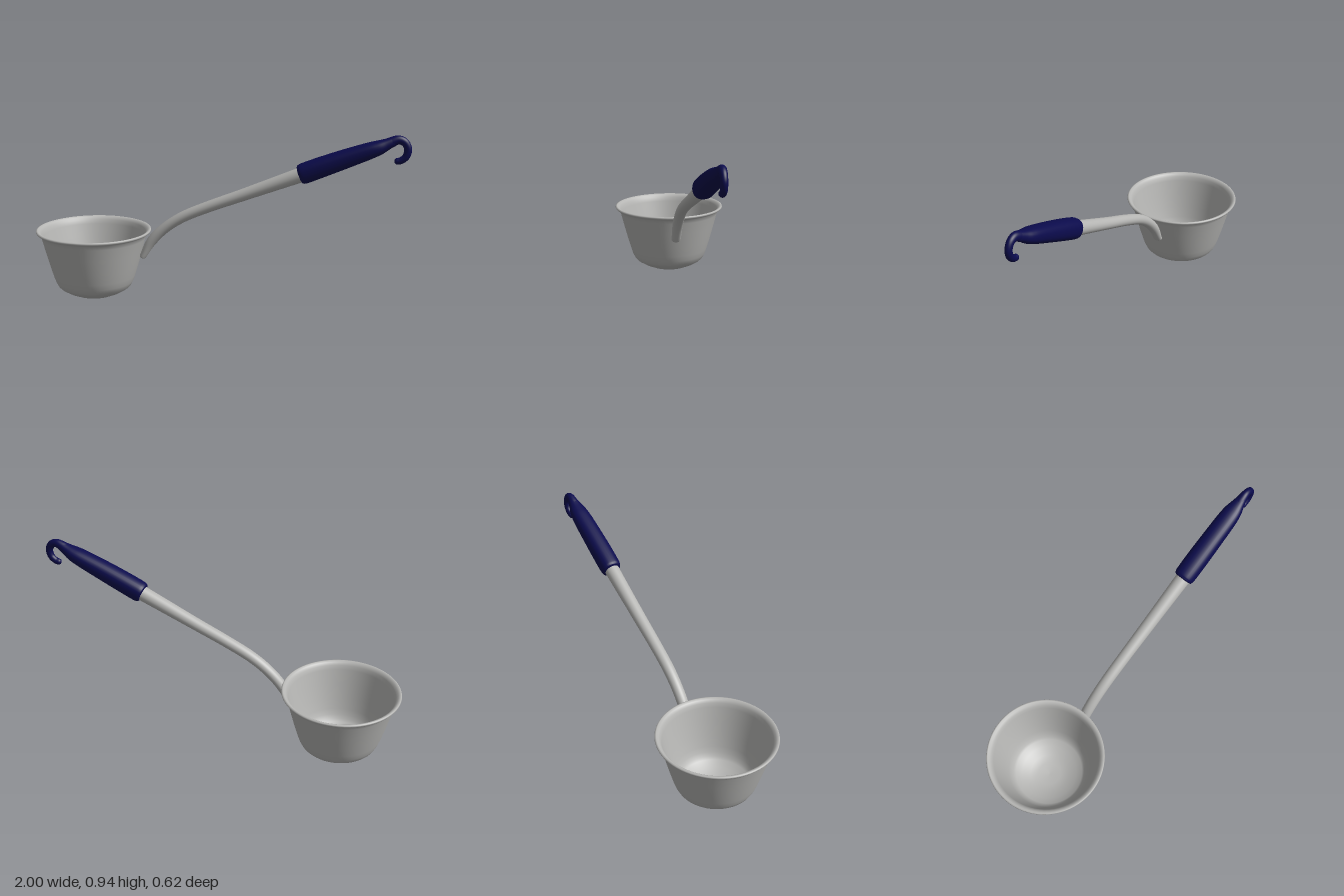
import * as THREE from 'three';

const steel = new THREE.MeshStandardMaterial({ color: 0xb6b6b4 });
steel.name = 'brushed steel';
const navy = new THREE.MeshStandardMaterial({ color: 0x0b0b4c });
navy.name = 'navy plastic';

// Sweeps an oval section along stations [x, y, half thickness, half width], with domed ends.
function sweep(stations, steps, domeStart, domeEnd, power = 1) {
  const sides = 28;
  const path = new THREE.CatmullRomCurve3(stations.map(([x, y]) => new THREE.Vector3(x, y, 0)), false, 'catmullrom', 0.5);
  const size = new THREE.CatmullRomCurve3(stations.map(([, , t, w]) => new THREE.Vector3(t, w, 0)), false, 'catmullrom', 0.5);
  const rings = [];
  const addRing = (t, scale, offset) => {
    const T = path.getTangent(t);
    rings.push({ c: path.getPoint(t).addScaledVector(T, offset), T, s: size.getPoint(t).multiplyScalar(scale) });
  };
  const domeSteps = 6;
  for (let k = 0; k < domeSteps; k++) {
    const a = (1 - k / domeSteps) * Math.PI / 2;
    addRing(0, Math.cos(a), -Math.sin(a) * domeStart);
  }
  for (let i = 0; i <= steps; i++) addRing(i / steps, 1, 0);
  for (let k = 1; k <= domeSteps; k++) {
    const a = (k / domeSteps) * Math.PI / 2;
    addRing(1, Math.cos(a), Math.sin(a) * domeEnd);
  }
  const round = (v) => Math.sign(v) * Math.abs(v) ** power;
  const pos = [], index = [];
  rings.forEach(({ c, T, s }, i) => {
    for (let j = 0; j < sides; j++) {
      const a = (j / sides) * Math.PI * 2;
      const n = round(Math.cos(a)) * s.x, z = round(Math.sin(a)) * s.y;
      pos.push(c.x - T.y * n, c.y + T.x * n, z);
      if (i === rings.length - 1) continue;
      const p = i * sides + j, q = i * sides + (j + 1) % sides;
      index.push(p, q, p + sides, q, q + sides, p + sides);
    }
  });
  const g = new THREE.BufferGeometry();
  g.setAttribute('position', new THREE.Float32BufferAttribute(pos, 3));
  g.setIndex(index);
  g.computeVertexNormals();
  return g;
}

export function createModel() {
  const group = new THREE.Group();
  group.name = 'ladle';
  const add = (name, geometry, material) => {
    const mesh = new THREE.Mesh(geometry, material);
    mesh.name = name;
    group.add(mesh);
    return mesh;
  };

  // Bowl: outside wall up, over the rolled rim, then down the inside
  const profile = [
    [0, 0], [0.06, 0.002], [0.105, 0.013], [0.15, 0.032], [0.185, 0.053], [0.199, 0.067],
    [0.211, 0.09], [0.222, 0.122], [0.24, 0.182], [0.262, 0.262], [0.28, 0.33], [0.287, 0.351],
    [0.297, 0.359], [0.307, 0.363], [0.311, 0.369], [0.309, 0.375], [0.302, 0.377],
    [0.291, 0.371], [0.281, 0.358], [0.274, 0.335], [0.255, 0.262], [0.233, 0.182],
    [0.215, 0.122], [0.204, 0.093], [0.192, 0.073], [0.18, 0.06], [0.147, 0.04],
    [0.103, 0.021], [0.06, 0.011], [0, 0.009],
  ].map(([x, y]) => new THREE.Vector2(x, y));
  add('bowl', new THREE.LatheGeometry(profile, 72), steel).position.x = -0.689;

  // Curved steel shaft, widening towards the grip
  add('shaft', sweep([
    [-0.416, 0.238, 0.018, 0.026], [-0.366, 0.325, 0.027, 0.029], [-0.29, 0.402, 0.028, 0.03],
    [-0.19, 0.468, 0.029, 0.031], [-0.05, 0.53, 0.03, 0.032], [0.12, 0.596, 0.032, 0.034],
    [0.3, 0.667, 0.036, 0.037], [0.46, 0.73, 0.04, 0.04],
  ], 56, 0.012, 0.005), steel);

  // Plastic grip tapering to its neck
  add('grip', sweep([
    [0.433, 0.722, 0.05, 0.05], [0.456, 0.731, 0.054, 0.055], [0.55, 0.769, 0.053, 0.056],
    [0.67, 0.816, 0.049, 0.054], [0.78, 0.858, 0.043, 0.051], [0.835, 0.879, 0.037, 0.045],
    [0.875, 0.898, 0.029, 0.033], [0.905, 0.912, 0.025, 0.025],
  ], 48, 0.008, 0.01, 0.88), navy);

  // Hanging hook curling down from the neck
  add('hook', sweep([
    [0.865, 0.893, 0.028, 0.03], [0.9, 0.911, 0.026, 0.026], [0.933, 0.921, 0.023, 0.021],
    [0.963, 0.908, 0.021, 0.019], [0.979, 0.875, 0.02, 0.018], [0.971, 0.838, 0.019, 0.018],
    [0.947, 0.816, 0.018, 0.017], [0.926, 0.81, 0.017, 0.016],
  ], 48, 0.01, 0.014), navy);

  return group;
}
